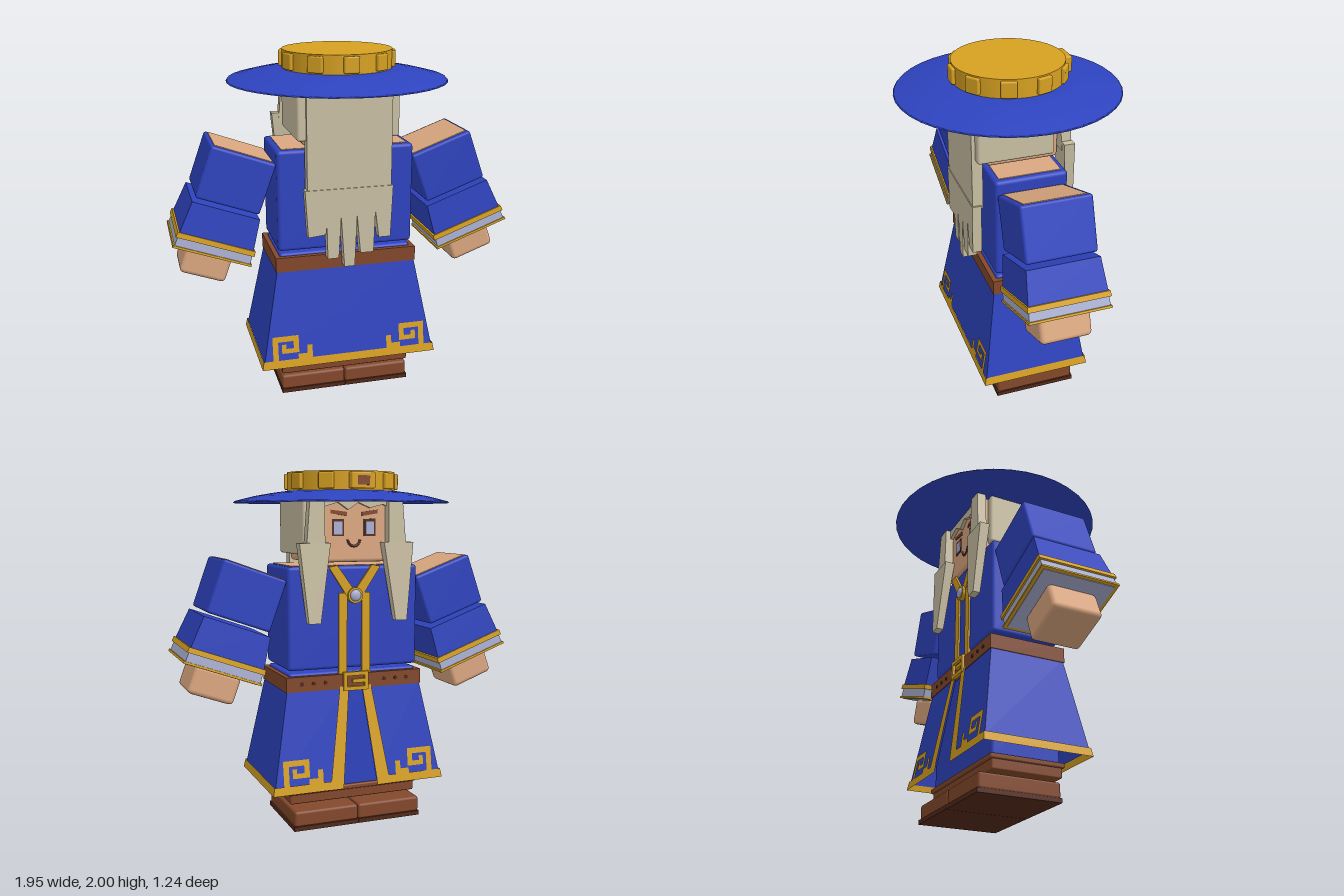
import * as THREE from 'three';
import { RoundedBoxGeometry } from 'three/addons/geometries/RoundedBoxGeometry.js';

const paint = (name, color, side = THREE.FrontSide) =>
  Object.assign(new THREE.MeshStandardMaterial({ color, side }), { name });

export function createModel() {
  const root = new THREE.Group();
  root.name = 'robedFigure';
  const blue = paint('robeBlue', 0x2e43bf, THREE.DoubleSide);
  const gold = paint('trimGold', 0xd6a021, THREE.DoubleSide);
  const skin = paint('skin', 0xdba780);
  const hair = paint('hair', 0xcabfa3);
  const brown = paint('leather', 0x83482b);
  const dark = paint('darkLeather', 0x54291a);
  const lavender = paint('paleLavender', 0xa9b0d2);

  const add = (name, geo, mat, parent = root) => {
    const m = new THREE.Mesh(geo, mat);
    m.name = name;
    parent.add(m);
    return m;
  };
  // Boxes are given by their limits on each axis
  const round = (name, mat, x0, x1, y0, y1, z0, z1, parent = root, r = 0.015) =>
    add(name, new RoundedBoxGeometry(x1 - x0, y1 - y0, z1 - z0, 2, r)
      .translate((x0 + x1) / 2, (y0 + y1) / 2, (z0 + z1) / 2), mat, parent);
  const box = (name, mat, x0, x1, y0, y1, z0, z1, parent = root) =>
    add(name, new THREE.BoxGeometry(x1 - x0, y1 - y0, z1 - z0)
      .translate((x0 + x1) / 2, (y0 + y1) / 2, (z0 + z1) / 2), mat, parent);
  // Tapered block between a top and a bottom rectangle [x0, x1, z0, z1, y]
  const loft = (name, mat, top, bottom, parent = root) => {
    const g = new THREE.BoxGeometry(1, 1, 1), p = g.attributes.position;
    for (let i = 0; i < p.count; i++) {
      const r = p.getY(i) > 0 ? top : bottom;
      p.setXYZ(i, r[p.getX(i) > 0 ? 1 : 0], r[4], r[p.getZ(i) > 0 ? 3 : 2]);
    }
    g.computeVertexNormals();
    return add(name, g, mat, parent);
  };
  const outline = (pts) => new THREE.Shape(pts.map(([x, y]) => new THREE.Vector2(x, y)));
  const slab = (name, mat, pts, z, depth, parent = root) =>
    add(name, new THREE.ExtrudeGeometry(outline(pts), { depth, bevelEnabled: false })
      .translate(0, 0, z), mat, parent);
  const flip = (s, pts) => pts.map(([x, y]) => [s * x, y]);

  // Everything on the face side is built towards +z in this turned group
  const face = new THREE.Group();
  face.name = 'faceSide';
  face.rotation.y = Math.PI;
  root.add(face);

  // Shoes and boot cuffs
  for (const s of [-1, 1]) {
    const [a, b] = s > 0 ? [0.001, 0.385] : [-0.385, -0.001];
    round('shoe', brown, a, b, 0.02, 0.11, -0.28, 0.195);
    box('sole', dark, a, s > 0 ? 0.39 : b, 0, 0.025, -0.287, 0.2);
  }
  round('bootCuff', brown, -0.385, 0.385, 0.13, 0.19, -0.205, 0.205, root, 0.008);
  round('bootRim', brown, -0.395, 0.395, 0.185, 0.213, -0.217, 0.217, root, 0.008);

  // Body
  round('innerRobe', blue, -0.375, 0.375, 0.2, 0.6, -0.2, 0.2);
  round('waist', blue, -0.385, 0.385, 0.5, 0.885, -0.2, 0.2);
  round('torso', blue, -0.392, 0.392, 0.9, 1.48, -0.205, 0.205, root, 0.02);
  box('neckBase', skin, -0.36, 0.36, 1.476, 1.484, -0.175, 0.175);

  // Flared skirt: flat outlines laid on the sloping sides, turn k = back, left, front, right
  const slope = (y) => (0.785 - y) / 0.535;
  const skirtPlate = (name, mat, pts, k, off) => {
    const g = new THREE.ShapeGeometry(outline(pts)), p = g.attributes.position;
    for (let i = 0; i < p.count; i++) {
      const t = slope(p.getY(i));
      p.setZ(i, off + (k % 2 ? 0.407 + 0.1 * t : 0.222 + 0.083 * t));
    }
    g.computeVertexNormals();
    g.rotateY(k * Math.PI / 2);
    return add(name, g, mat);
  };
  const edge = (k, y) => (k % 2 ? 0.222 + 0.083 * slope(y) : 0.407 + 0.1 * slope(y));
  const bar = (x0, x1, y0, y1) => [[x0, y0], [x1, y0], [x1, y1], [x0, y1]];
  const hem = 0.227, band = 0.275, waistY = 0.8;
  for (const k of [0, 1, 3]) {
    const strip = (y0, y1, o) => [[-edge(k, y0) - o, y0], [edge(k, y0) + o, y0],
      [edge(k, y1) + o, y1], [-edge(k, y1) - o, y1]];
    skirtPlate('skirtPanel', blue, strip(0.26, waistY, 0), k, 0);
    skirtPlate('skirtHem', gold, strip(hem, band, 0.008), k, 0.008);
  }
  const spiral = [
    [0.423, 0.455, 0.27, 0.414], [0.302, 0.423, 0.382, 0.414], [0.302, 0.333, 0.313, 0.382],
    [0.333, 0.402, 0.313, 0.34], [0.376, 0.402, 0.34, 0.366],
    [0.223, 0.307, 0.27, 0.303], [0.223, 0.254, 0.303, 0.35],
  ];
  for (const s of [-1, 1]) {
    skirtPlate('frontSkirtPanel', blue, flip(s, [[0.1, 0.26], [edge(0, 0.26), 0.26],
      [edge(0, waistY), waistY], [0.04, waistY]]), 2, 0);
    skirtPlate('frontHem', gold, flip(s, [[0.105, hem], [edge(0, hem) + 0.008, hem],
      [edge(0, band) + 0.008, band], [0.1, band]]), 2, 0.008);
    skirtPlate('openingTrim', gold, flip(s, [[0.105, hem], [0.185, hem],
      [0.095, waistY], [0.04, waistY]]), 2, 0.01);
    for (const k of [0, 2])
      for (const [x0, x1, y0, y1] of spiral)
        skirtPlate('spiralOrnament', gold, bar(s * x0, s * x1, y0, y1), k, 0.007);
  }

  // Belt with holes and buckle
  box('belt', brown, -0.412, 0.412, 0.785, 0.87, -0.227, 0.227);
  for (const s of [-1, 1])
    for (const x of [0.18, 0.25, 0.32])
      add('beltHole', new THREE.CylinderGeometry(0.011, 0.011, 0.006, 10)
        .rotateX(Math.PI / 2).translate(s * x, 0.828, 0.228), dark, face);
  for (const [x0, x1, y0, y1] of [[-0.075, 0.075, 0.86, 0.882], [-0.075, 0.075, 0.775, 0.797],
    [-0.075, -0.053, 0.797, 0.86], [0.053, 0.075, 0.797, 0.86], [-0.02, 0.053, 0.818, 0.84]])
    box('buckle', gold, x0, x1, y0, y1, 0.222, 0.242, face);

  // Robe front trim and brooch
  for (const s of [-1, 1]) {
    box('frontTrim', gold, s > 0 ? 0.045 : -0.095, s > 0 ? 0.095 : -0.045, 0.86, 1.33, 0.2, 0.215, face);
    slab('collar', gold, flip(s, [[0, 1.29], [0.04, 1.3], [0.155, 1.475], [0.105, 1.485], [0, 1.34]]),
      0.2, 0.018, face);
  }
  add('broochRim', new THREE.CylinderGeometry(0.045, 0.045, 0.03, 20)
    .rotateX(Math.PI / 2).translate(0, 1.315, 0.216), gold, face);
  add('brooch', new THREE.SphereGeometry(0.033, 16, 10).scale(1, 1, 0.5)
    .translate(0, 1.315, 0.23), lavender, face);

  // Arms
  for (const s of [-1, 1]) {
    const arm = new THREE.Group();
    arm.name = s > 0 ? 'leftArm' : 'rightArm';
    arm.position.set(s * 0.614, 1.327, 0);
    arm.rotation.z = s * Math.PI / 9;
    root.add(arm);
    const rect = (w, d, y) => [-w, w, -d, d, y];
    round('upperSleeve', blue, -0.185, 0.185, -0.15, 0.15, -0.195, 0.195, arm);
    box('shoulder', skin, -0.168, 0.168, 0.146, 0.154, -0.168, 0.168, arm);
    loft('lowerSleeve', blue, rect(0.194, 0.2, -0.172), rect(0.213, 0.217, -0.36), arm);
    loft('cuffBand', gold, rect(0.222, 0.224, -0.35), rect(0.225, 0.227, -0.38), arm);
    loft('cuffLining', lavender, rect(0.214, 0.217, -0.38), rect(0.217, 0.22, -0.428), arm);
    loft('cuffEdge', gold, rect(0.225, 0.226, -0.428), rect(0.226, 0.227, -0.441), arm);
    box('cuffOpening', lavender, -0.208, 0.208, -0.444, -0.436, -0.208, 0.208, arm);
    round('hand', skin, -0.133, 0.133, -0.6, -0.435, -0.143, 0.143, arm, 0.025);
  }

  // Head and face
  round('head', skin, -0.245, 0.245, 1.5, 1.86, -0.2, 0.2, root, 0.02);
  for (const s of [-1, 1]) {
    const x = s * 0.095;
    box('eyeOutline', dark, x - 0.036, x + 0.036, 1.645, 1.74, 0.197, 0.203, face);
    box('eye', lavender, x - 0.025, x + 0.025, 1.655, 1.725, 0.199, 0.206, face);
    slab('brow', brown, flip(s, [[0.045, 1.755], [0.14, 1.77], [0.14, 1.79], [0.045, 1.778]]),
      0.198, 0.008, face);
  }
  add('mouth', new THREE.TorusGeometry(0.036, 0.007, 6, 14, Math.PI)
    .rotateZ(Math.PI).translate(0, 1.625, 0.2), dark, face);

  // Hair: cap, long back panel, ragged strands, fringe and side locks
  for (const s of [-1, 1])
    round('sideHair', hair, s > 0 ? 0.225 : -0.288, s > 0 ? 0.288 : -0.225, 1.54, 1.86, -0.165, 0.265);
  round('backHair', hair, -0.27, 0.27, 1.54, 1.86, 0.18, 0.265);
  box('longHair', hair, -0.24, 0.24, 1.25, 1.86, 0.225, 0.285);
  slab('hairStrands', hair, [[-0.254, 1.27], [-0.238, 1], [-0.138, 1.01], [-0.132, 1.06],
    [-0.127, 0.865], [-0.063, 0.865], [-0.05, 1.11], [-0.03, 0.81], [0.03, 0.81], [0.042, 1.11],
    [0.063, 0.885], [0.14, 0.885], [0.148, 1.13], [0.17, 0.97], [0.238, 0.97], [0.25, 1.27]],
    0.237, 0.053);
  slab('fringe', hair, [[-0.25, 1.86], [-0.25, 1.78], [-0.17, 1.81], [-0.1, 1.83], [-0.04, 1.79],
    [0.02, 1.83], [0.09, 1.8], [0.17, 1.82], [0.25, 1.78], [0.25, 1.86]], 0.19, 0.03, face);
  for (const s of [-1, 1]) {
    const rect = (a, b, z0, z1, y) => [Math.min(s * a, s * b), Math.max(s * a, s * b), z0, z1, y];
    loft('upperLock', hair, rect(0.19, 0.275, 0.195, 0.25, 1.86), rect(0.19, 0.3, 0.2, 0.255, 1.56), face);
    loft('lowerLock', hair, rect(0.16, 0.34, 0.2, 0.26, 1.61), rect(0.225, 0.295, 0.237, 0.28, 1.17), face);
  }

  // Hat with brim, crown, studs and a gem
  const brim = [[0, 1.87], [0.3, 1.86], [0.5, 1.843], [0.62, 1.828], [0.612, 1.838],
    [0.5, 1.866], [0.4, 1.884], [0.31, 1.896], [0, 1.9]];
  add('hatBrim', new THREE.LatheGeometry(brim.map(([x, y]) => new THREE.Vector2(x, y)), 40), blue);
  add('hatCrown', new THREE.CylinderGeometry(0.308, 0.308, 0.11, 40).translate(0, 1.945, 0), gold);
  for (let i = 0; i < 10; i++) {
    const big = i === 5, w = big ? 0.07 : 0.043;
    round('hatStud', gold, -w, w, 1.903, 1.992, 0.285, big ? 0.342 : 0.325, root, 0.008)
      .rotation.y = i * Math.PI / 5;
  }
  box('hatGem', brown, -0.035, 0.035, 1.922, 1.972, 0.338, 0.346, face);
  return root;
}
